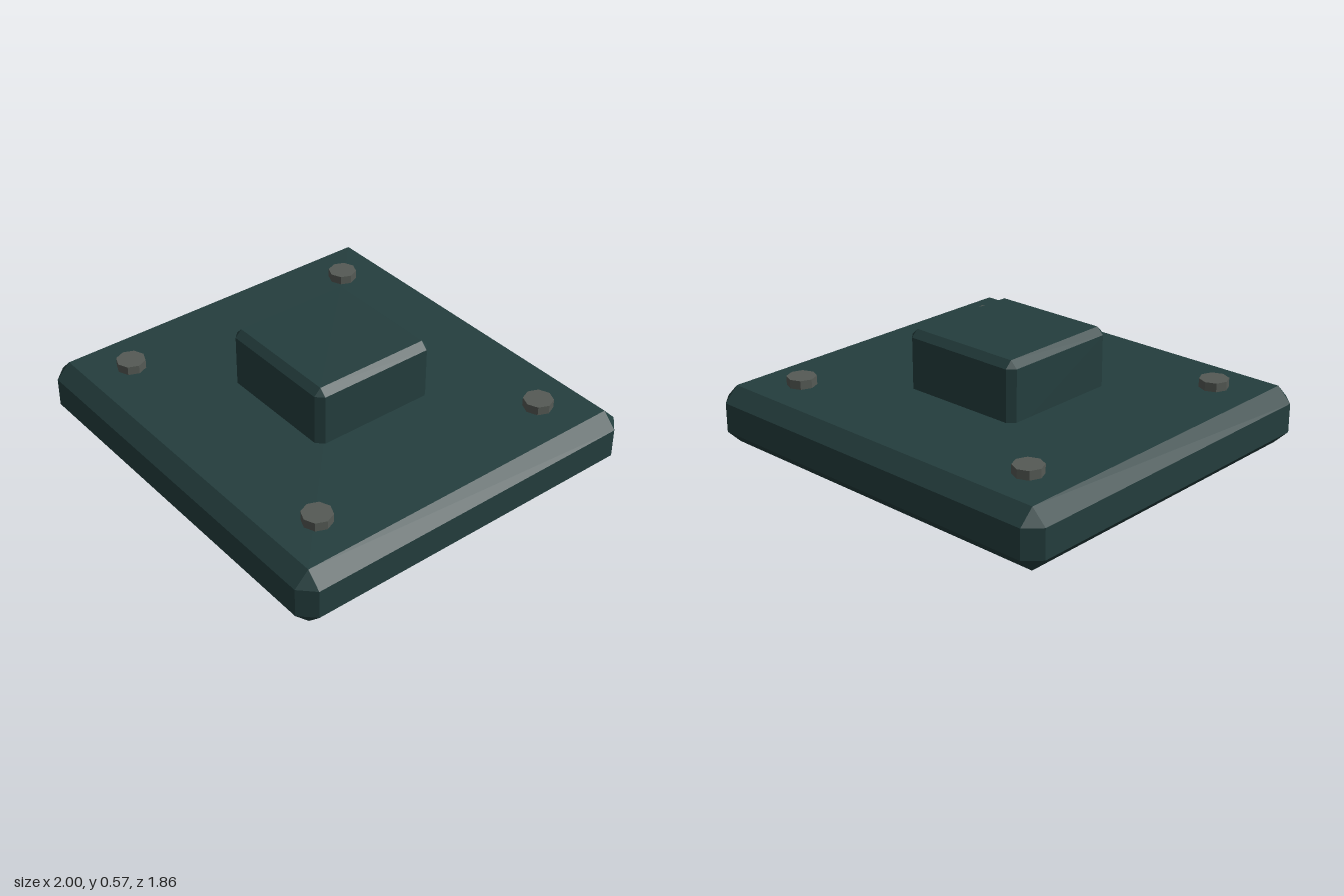
import * as THREE from 'three';
import { ConvexGeometry } from 'three/addons/geometries/ConvexGeometry.js';

// Box with a flat 45 degree chamfer on every edge, given by half sizes
function chamferBox(hx, hy, hz, b) {
  const points = [];
  for (const sx of [-1, 1]) for (const sy of [-1, 1]) for (const sz of [-1, 1]) {
    points.push(
      new THREE.Vector3(sx * hx, sy * (hy - b), sz * (hz - b)),
      new THREE.Vector3(sx * (hx - b), sy * hy, sz * (hz - b)),
      new THREE.Vector3(sx * (hx - b), sy * (hy - b), sz * hz)
    );
  }
  return new ConvexGeometry(points);
}

export function createModel() {
  const darkTeal = new THREE.MeshStandardMaterial({ color: 0x243e3e, flatShading: true });
  darkTeal.name = 'darkTeal';
  const boltGrey = new THREE.MeshStandardMaterial({ color: 0x555a55, flatShading: true });
  boltGrey.name = 'boltGrey';

  const model = new THREE.Group();
  model.name = 'mountingPlate';
  const add = (name, geometry, material, x, y, z) => {
    const mesh = new THREE.Mesh(geometry, material);
    mesh.name = name;
    mesh.position.set(x, y, z);
    model.add(mesh);
  };

  // Wide base slab
  add('basePlate', chamferBox(1, 0.143, 0.928, 0.071), darkTeal, 0, 0.143, 0);

  // Raised block, sunk into the slab
  add('centerBlock', chamferBox(0.327, 0.18, 0.327, 0.034), darkTeal, 0, 0.393, 0);

  // Bolt heads at the four corners
  const boltHead = new THREE.CylinderGeometry(0.071, 0.071, 0.086, 8);
  for (const [side, x] of [['Left', 0.714], ['Right', -0.714]]) {
    for (const [end, z] of [['front', 0.643], ['back', -0.643]]) {
      add(`${end}${side}Bolt`, boltHead, boltGrey, x, 0.286, z);
    }
  }
  return model;
}
